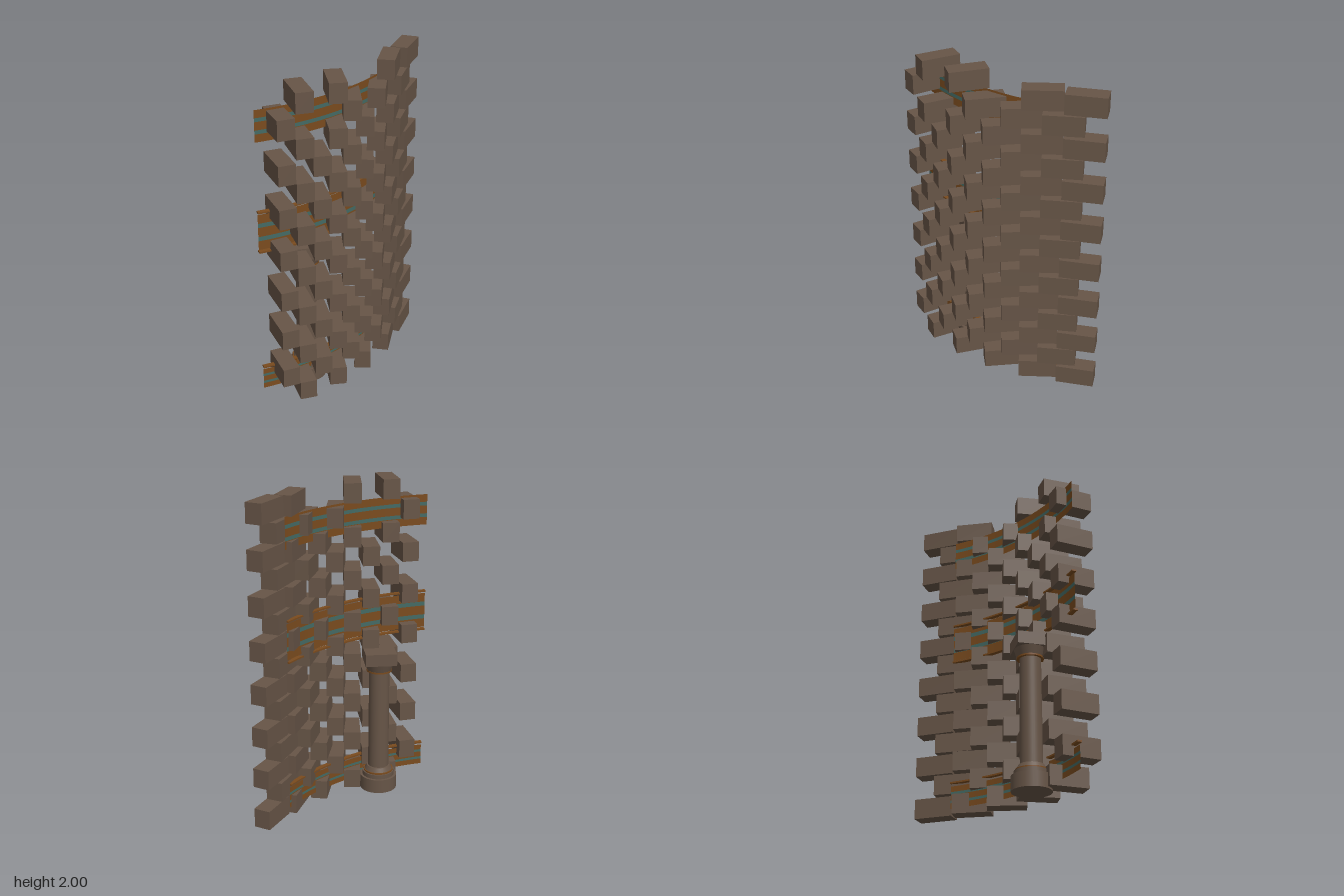
import * as THREE from 'three';

const mat = (name, color, side = THREE.FrontSide) => {
  const m = new THREE.MeshStandardMaterial({ color, side });
  m.name = name;
  return m;
};

export function createModel() {
  const stone = mat('brown stone', 0x675547);
  const bronze = mat('bronze', 0x7a4b1e, THREE.DoubleSide);
  const teal = mat('dull teal', 0x446a64, THREE.DoubleSide);

  const model = new THREE.Group();
  model.name = 'curvedBrickScreen';
  const add = (parent, name, geo, material, x = 0, y = 0, z = 0) => {
    const mesh = new THREE.Mesh(geo, material);
    mesh.name = name;
    mesh.position.set(x, y, z);
    parent.add(mesh);
    return mesh;
  };

  // Arc that the wall and the bands follow
  const CX = -1.253, CZ = -0.51, R = 1.49;
  const STEP = THREE.MathUtils.degToRad(4.78);

  // Wall: fifteen staggered courses of turned bricks, two of them missing near the top
  const wall = new THREE.Group();
  wall.name = 'brickWall';
  model.add(wall);
  const brickGeo = new THREE.BoxGeometry(0.104, 0.121, 0.236);
  const missing = new Set(['14:4', '13:7']);
  for (let row = 0; row < 15; row++) {
    for (let i = row % 2; i < 10; i += 2) {
      if (missing.has(`${row}:${i}`)) continue;
      const a = i * STEP;
      const brick = add(wall, 'brick', brickGeo, stone,
        CX + R * Math.cos(a), 0.071 + row * 0.1335, CZ + R * Math.sin(a));
      brick.rotation.y = a;
    }
  }

  // Striped bands on the inner side of the wall
  const BAND_R = 1.437, A0 = STEP, A1 = STEP * 10;
  const addBand = (y0, y1) => {
    const band = new THREE.Group();
    band.name = 'stripedBand';
    model.add(band);
    const cuts = [0, 0.25, 0.37, 0.63, 0.75, 1];
    for (let i = 0; i < 5; i++) {
      const h = (y1 - y0) * (cuts[i + 1] - cuts[i]);
      const y = y0 + (y1 - y0) * (cuts[i] + cuts[i + 1]) / 2;
      const geo = new THREE.CylinderGeometry(BAND_R, BAND_R, h, 32, 1, true, Math.PI / 2 - A1, A1 - A0);
      add(band, i % 2 ? 'tealStripe' : 'bronzeStripe', geo, i % 2 ? teal : bronze, CX, y, CZ);
    }
  };
  addBand(0.05, 0.188);
  addBand(1.02, 1.245);
  addBand(1.69, 1.88);

  // Thin flat rails beside the lower two bands
  const railShape = new THREE.Shape();
  railShape.absarc(0, 0, BAND_R + 0.014, A0, A1, false);
  railShape.absarc(0, 0, BAND_R - 0.014, A1, A0, true);
  const railGeo = new THREE.ExtrudeGeometry(railShape, { depth: 0.01, bevelEnabled: false, curveSegments: 32 });
  railGeo.rotateX(Math.PI / 2);
  for (const y of [0.213, 1.012, 1.266]) add(model, 'rail', railGeo, bronze, CX, y, CZ);

  // Column: plinth, moulded base, shaft and capital
  const column = new THREE.Group();
  column.name = 'column';
  column.position.set(-0.129, 0, 0.225);
  model.add(column);
  const disc = (name, r0, r1, y0, y1, m = stone) =>
    add(column, name, new THREE.CylinderGeometry(r1, r0, y1 - y0, 32), m, 0, (y0 + y1) / 2, 0);
  disc('plinth', 0.118, 0.118, 0, 0.09);
  disc('baseRing', 0.102, 0.102, 0.09, 0.118);
  disc('baseTrim', 0.094, 0.094, 0.118, 0.128, bronze);
  disc('baseMoulding', 0.088, 0.075, 0.128, 0.155);
  disc('shaft', 0.066, 0.064, 0.155, 0.81);
  disc('neckTrim', 0.08, 0.08, 0.805, 0.815, bronze);
  disc('capitalMoulding', 0.078, 0.095, 0.815, 0.865);
  const cap = add(column, 'capitalBlock', new THREE.BoxGeometry(0.195, 0.077, 0.195), stone, 0, 0.9035, 0);
  cap.rotation.y = THREE.MathUtils.degToRad(33);

  return model;
}
